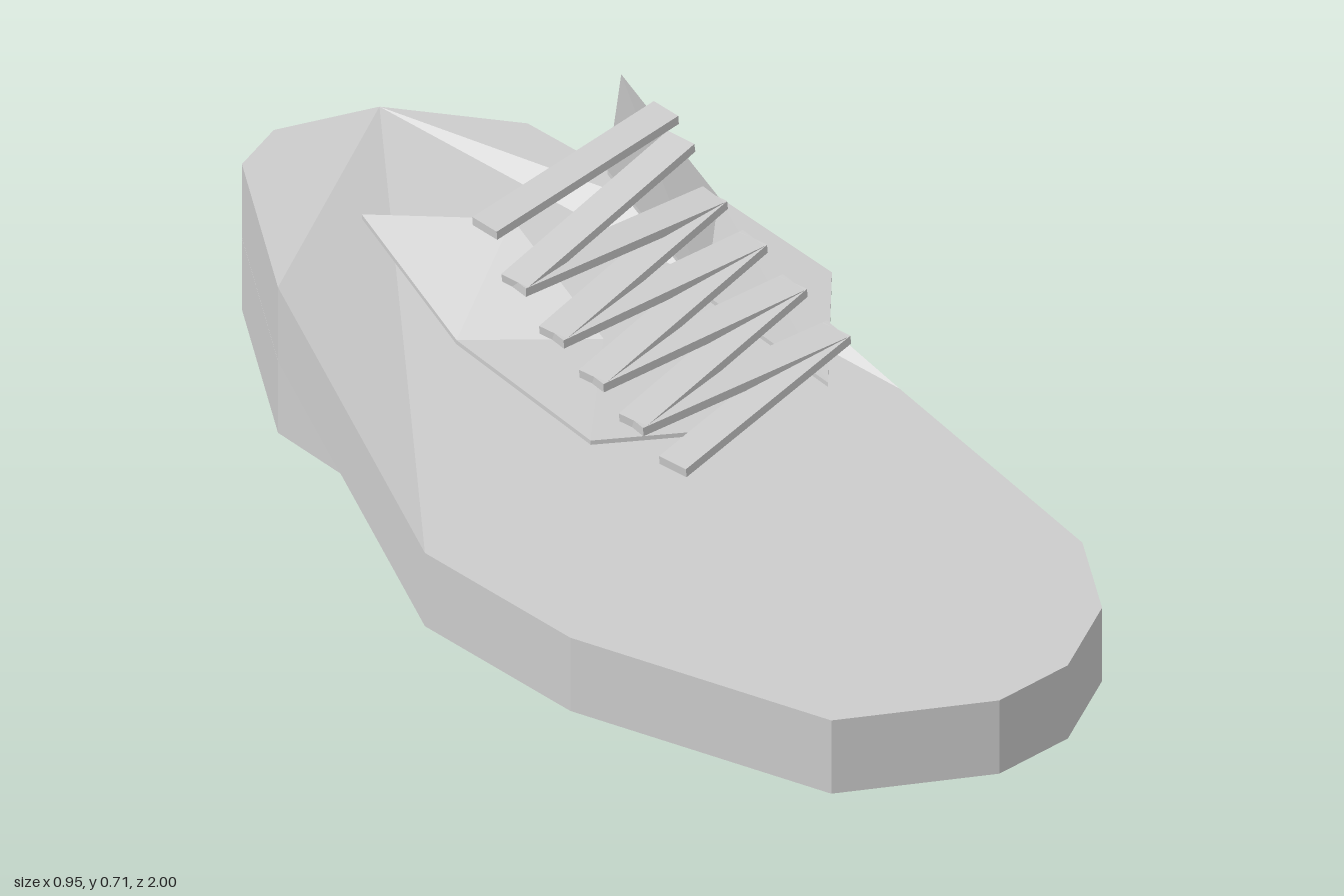
import * as THREE from 'three';

const material = new THREE.MeshStandardMaterial({ color: 0xcccccc, flatShading: true, side: THREE.DoubleSide });

function add(group, name, geometry) {
  const mesh = new THREE.Mesh(geometry, material);
  mesh.name = name;
  group.add(mesh);
  return mesh;
}

// Slab with a counterclockwise outline; walls join the top ring to one 'thick' below it
function slab(top, thick, topFaces, bottomFaces) {
  const n = top.length, index = [];
  const points = [...top, ...top.map(([x, y, z]) => [x, y - thick, z])];
  topFaces.forEach(f => index.push(...f));
  bottomFaces.forEach(([a, b, c]) => index.push(a + n, c + n, b + n));
  for (let i = 0; i < n; i++) {
    const j = (i + 1) % n;
    index.push(i, i + n, j + n, i, j + n, j);
  }
  const indexed = new THREE.BufferGeometry();
  indexed.setAttribute('position', new THREE.Float32BufferAttribute(points.flat(), 3));
  indexed.setIndex(index);
  const geometry = indexed.toNonIndexed();
  geometry.computeVertexNormals();
  return geometry;
}

// Sole outline as [x, z], from the toe round by the left side
const outline = [
  [-0.02, 1], [0.14, 1], [0.3, 0.91], [0.405, 0.74], [0.475, 0.18], [0.44, -0.27], [0.405, -0.72],
  [0.245, -0.93], [0.06, -1], [-0.05, -0.96], [-0.25, -0.64], [-0.475, 0], [-0.455, 0.36], [-0.28, 0.85],
];

function soleGeometry() {
  const top = outline.map(([x, z]) => [x, z >= 0 ? 0.188 : 0.312, z]);
  // Flat forefoot as a fan, then the ramp and raised rear
  const forefoot = [[11, 12, 13], [11, 13, 0], [11, 0, 1], [11, 1, 2], [11, 2, 3], [11, 3, 4]];
  const upper = [[11, 4, 7], [4, 5, 7], [5, 6, 7], [11, 7, 10], [10, 7, 8], [10, 8, 9]];
  const under = [[4, 5, 6], [11, 4, 6], [11, 6, 10], [10, 6, 7], [10, 7, 8], [10, 8, 9]];
  return slab(top, 0.157, [...forefoot, ...upper], [...forefoot, ...under]);
}

function heelGeometry() {
  const toPoints = list => list.map(([x, z]) => new THREE.Vector2(x, -z));
  const shape = new THREE.Shape(toPoints([[-0.25, -0.39], [0.405, -0.39], ...outline.slice(6, 11)]));
  // Small recess in the underside
  shape.holes.push(new THREE.Path(toPoints([[0.28, -0.645], [0.15, -0.72], [-0.04, -0.7], [-0.1, -0.64]])));
  return new THREE.ExtrudeGeometry(shape, { depth: 0.154, bevelEnabled: false }).rotateX(-Math.PI / 2);
}

// Flat strip between two points, kept level across its width
function lace(group, from, to) {
  const a = new THREE.Vector3(...from), b = new THREE.Vector3(...to);
  const along = b.clone().sub(a);
  const length = along.length();
  along.normalize();
  const across = along.clone().cross(new THREE.Vector3(0, 1, 0)).normalize();
  const up = across.clone().cross(along);
  const mesh = add(group, 'lace', new THREE.BoxGeometry(length, 0.018, 0.062));
  mesh.quaternion.setFromRotationMatrix(new THREE.Matrix4().makeBasis(along, up, across));
  mesh.position.copy(a).add(b).multiplyScalar(0.5);
}

export function createModel() {
  const shoe = new THREE.Group();
  shoe.name = 'shoe';
  add(shoe, 'sole', soleGeometry());
  add(shoe, 'heel', heelGeometry());

  // Folded side flaps with raised rear corners
  const flapFaces = [[0, 1, 2], [0, 2, 5], [5, 2, 3], [5, 3, 4]];
  const leftFlap = [[0.165, 0.432, 0.34], [0.388, 0.436, 0.1], [0.38, 0.448, -0.19],
    [0.375, 0.58, -0.44], [0.165, 0.58, -0.24], [0.165, 0.45, 0.02]];
  const rightFlap = [[-0.265, 0.436, 0.2], [-0.057, 0.432, 0.33], [-0.057, 0.45, 0],
    [-0.057, 0.58, -0.24], [-0.245, 0.58, -0.425], [-0.25, 0.448, -0.17]];
  add(shoe, 'leftFlap', slab(leftFlap, 0.009, flapFaces, flapFaces));
  add(shoe, 'rightFlap', slab(rightFlap, 0.009, flapFaces, flapFaces));

  // Zigzag lacing: [y, z] of each crossing at its right and left ends
  const laces = new THREE.Group();
  laces.name = 'laces';
  shoe.add(laces);
  const rightEnds = [[0.418, 0.335], [0.454, 0.23], [0.492, 0.125], [0.53, 0.02], [0.588, -0.08], [0.666, -0.16]];
  const leftEnds = [[0.466, 0.275], [0.505, 0.16], [0.544, 0.055], [0.582, -0.05], [0.66, -0.135], [0.7, -0.175]];
  rightEnds.forEach((r, i) => {
    lace(laces, [-0.193, ...r], [0.245, ...leftEnds[i]]);
    if (i < 4) lace(laces, [0.245, ...leftEnds[i]], [-0.193, ...rightEnds[i + 1]]);
  });
  return shoe;
}
